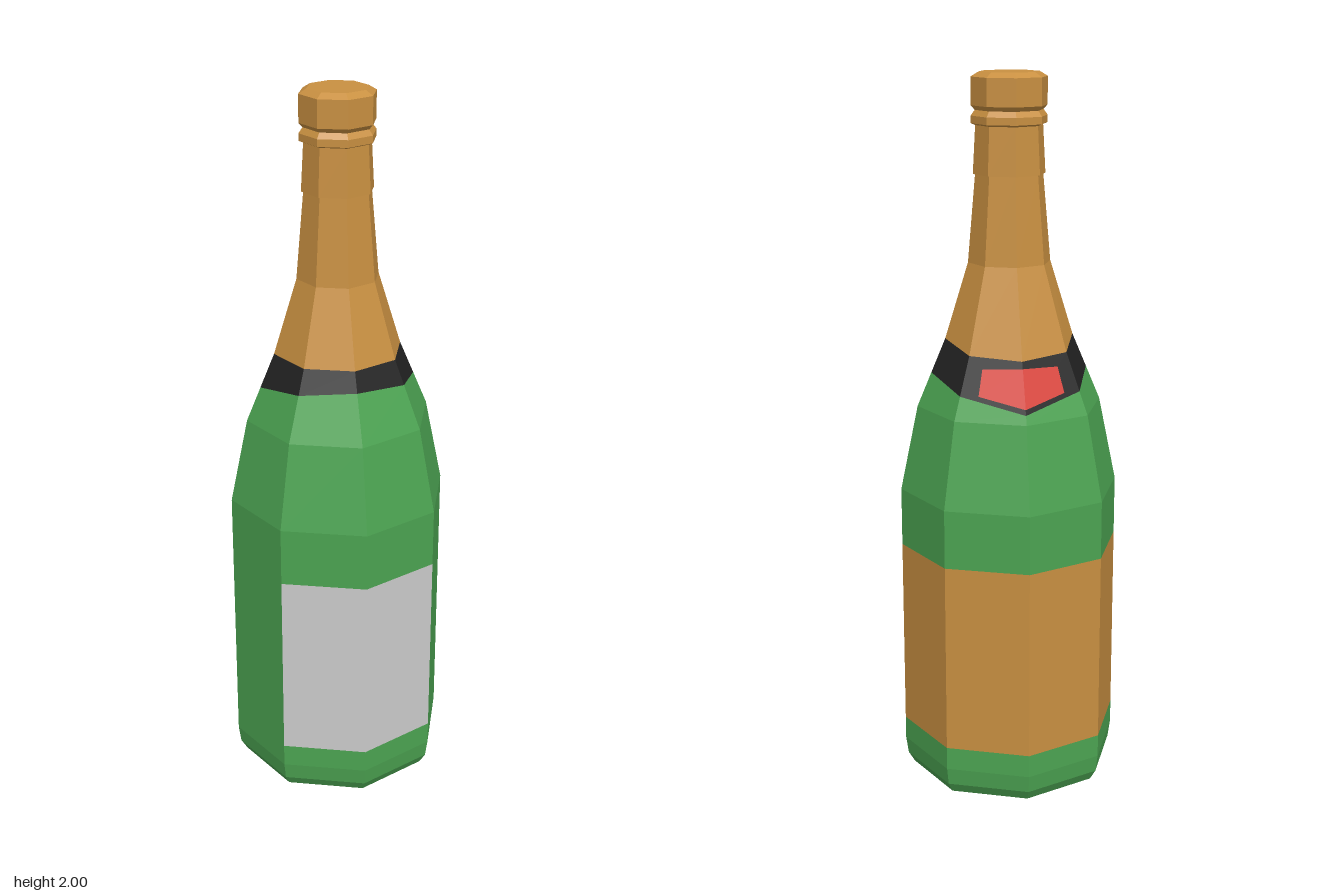
import * as THREE from 'three';

const SIDES = 8;
const GREEN = 0x4ca452, GOLD = 0xc99041, BLACK = 0x222222, RED = 0xdc433a, GREY = 0xcccccc;

// Corner k of the octagon (0 = front, 2 = left, 4 = back), at a radius and height
function corner(k, r, y) {
  const a = (k / SIDES) * Math.PI * 2;
  return new THREE.Vector3(r * Math.sin(a), y, r * Math.cos(a));
}

const ring = (r, y) => (k) => corner(k, r, y);

// Shoulder cone, and a ring on it whose height varies from front (0) to back (4)
const shoulderRadius = (y) => 0.26 - (0.08 / 0.19) * (y - 1.09);
const slantedRing = (heights) => (k) => {
  const y = heights[Math.min(k % SIDES, SIDES - (k % SIDES))];
  return corner(k, shoulderRadius(y), y);
};

// Faceted skin between successive rings, listed bottom to top
function shell(name, color, rings, start = 0, count = SIDES) {
  const points = [];
  for (let i = 0; i < rings.length - 1; i++) {
    for (let k = start; k < start + count; k++) {
      const a = rings[i](k), b = rings[i](k + 1);
      const c = rings[i + 1](k + 1), d = rings[i + 1](k);
      if (a.distanceTo(b) > 1e-5) points.push(a, b, c);
      if (c.distanceTo(d) > 1e-5) points.push(a, c, d);
    }
  }
  const geometry = new THREE.BufferGeometry().setFromPoints(points);
  geometry.computeVertexNormals();
  const mesh = new THREE.Mesh(geometry, new THREE.MeshStandardMaterial({ color, flatShading: true }));
  mesh.name = name;
  return mesh;
}

export function createModel() {
  const bottle = new THREE.Group();
  bottle.name = 'bottle';

  const labelBottom = ring(0.31, 0.145), labelTop = ring(0.31, 0.685);
  const bandBottom = slantedRing([1.225, 1.212, 1.185, 1.154, 1.115]);
  const bandTop = slantedRing([1.28, 1.28, 1.28, 1.258, 1.25]);

  // Base with a hollow underside
  bottle.add(shell('base', GREEN, [
    ring(0, 0.1), ring(0.12, 0.1), ring(0.22, 0), ring(0.285, 0),
    ring(0.303, 0.03), ring(0.31, 0.08), labelBottom,
  ]));

  // Middle of the body: labels front and back, glass between them
  const middle = [labelBottom, labelTop];
  bottle.add(shell('frontLabel', GREY, middle, 7, 2));
  bottle.add(shell('backLabel', GOLD, middle, 2, 4));
  bottle.add(shell('leftGlass', GREEN, middle, 1, 1));
  bottle.add(shell('rightGlass', GREEN, middle, 6, 1));

  // Shoulder and slanted neck band
  bottle.add(shell('shoulder', GREEN, [labelTop, ring(0.31, 0.85), ring(0.26, 1.09), bandBottom]));
  bottle.add(shell('neckBand', BLACK, [bandBottom, bandTop]));

  // Small patch on the two back facets of the band, just proud of it
  const patchEdge = (backY, endY) => (k) => {
    const y = k === 4 ? backY : endY;
    const r = shoulderRadius(y) + 0.003;
    return corner(4, r, y).lerp(corner(k, r, y), 0.71);
  };
  bottle.add(shell('bandPatch', RED, [patchEdge(1.13, 1.157), patchEdge(1.232, 1.226)], 3, 2));

  // Foil over the neck, with its collar step, rings and cap
  bottle.add(shell('neckFoil', GOLD, [bandTop, ring(0.115, 1.49), ring(0.094, 1.73)]));
  bottle.add(shell('foilCollar', GOLD, [ring(0.094, 1.73), ring(0.1, 1.73), ring(0.093, 1.86)]));
  bottle.add(shell('neckRing', GOLD, [
    ring(0.093, 1.86), ring(0.105, 1.865), ring(0.105, 1.885), ring(0.094, 1.9),
  ]));
  bottle.add(shell('cap', GOLD, [
    ring(0.094, 1.9), ring(0.105, 1.912), ring(0.105, 1.987), ring(0.083, 2), ring(0, 2),
  ]));

  return bottle;
}
